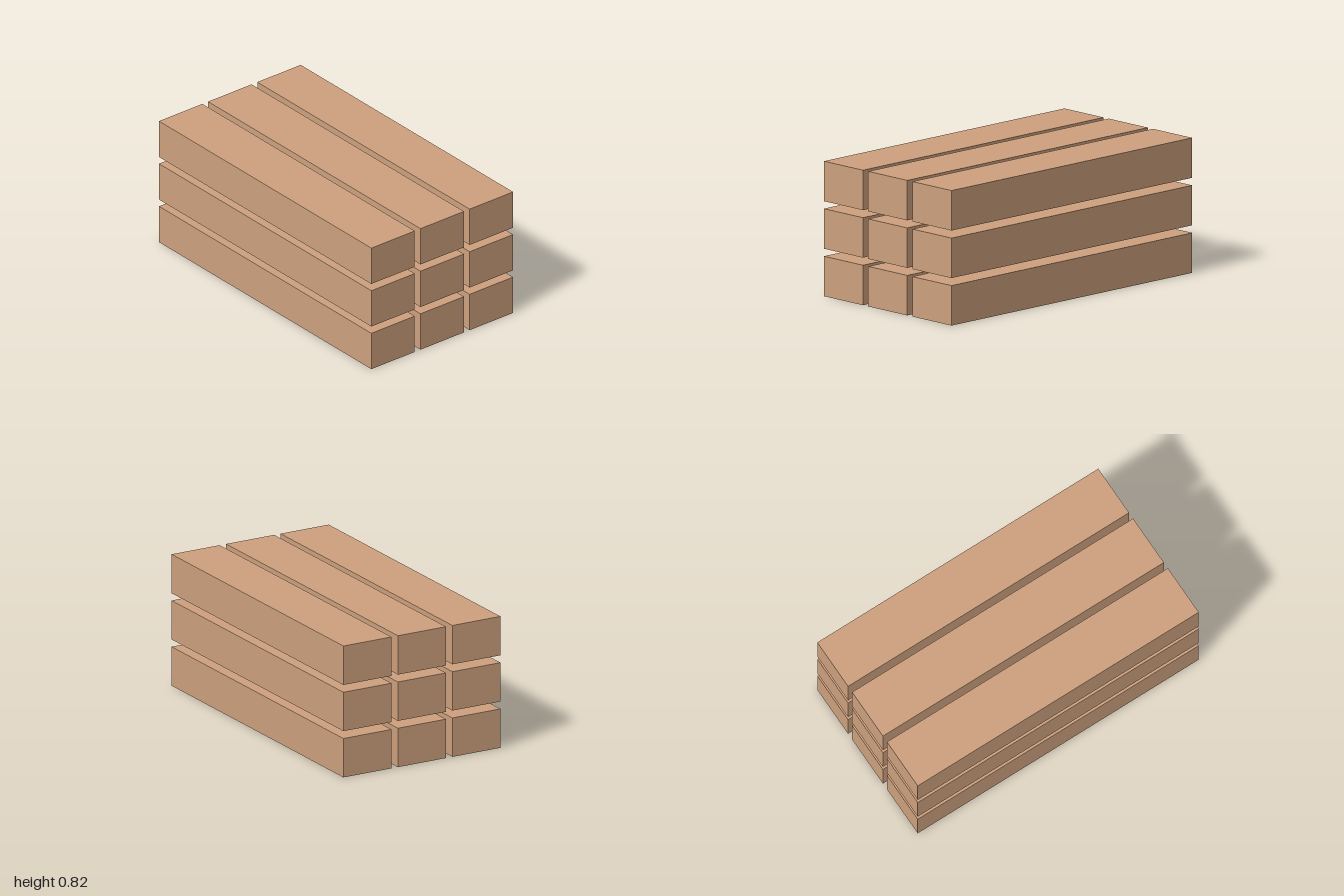
import * as THREE from 'three';

// A stack of planks: three columns by three layers with even gaps
const WIDTH = 0.333, HEIGHT = 0.244, LENGTH = 2;
const PITCH_X = 0.377, PITCH_Y = 0.29;

export function createModel() {
  const model = new THREE.Group();
  model.name = 'plankStack';

  const wood = new THREE.MeshStandardMaterial({ color: 0xcea17e });
  wood.name = 'wood';

  const plankGeometry = new THREE.BoxGeometry(WIDTH, HEIGHT, LENGTH);

  for (let row = 0; row < 3; row++) {
    const layer = new THREE.Group();
    layer.name = ['bottomLayer', 'middleLayer', 'topLayer'][row];
    layer.position.y = HEIGHT / 2 + row * PITCH_Y;
    for (let column = -1; column <= 1; column++) {
      const plank = new THREE.Mesh(plankGeometry, wood);
      plank.name = ['rightPlank', 'centrePlank', 'leftPlank'][column + 1];
      plank.position.x = column * PITCH_X;
      layer.add(plank);
    }
    model.add(layer);
  }
  return model;
}
